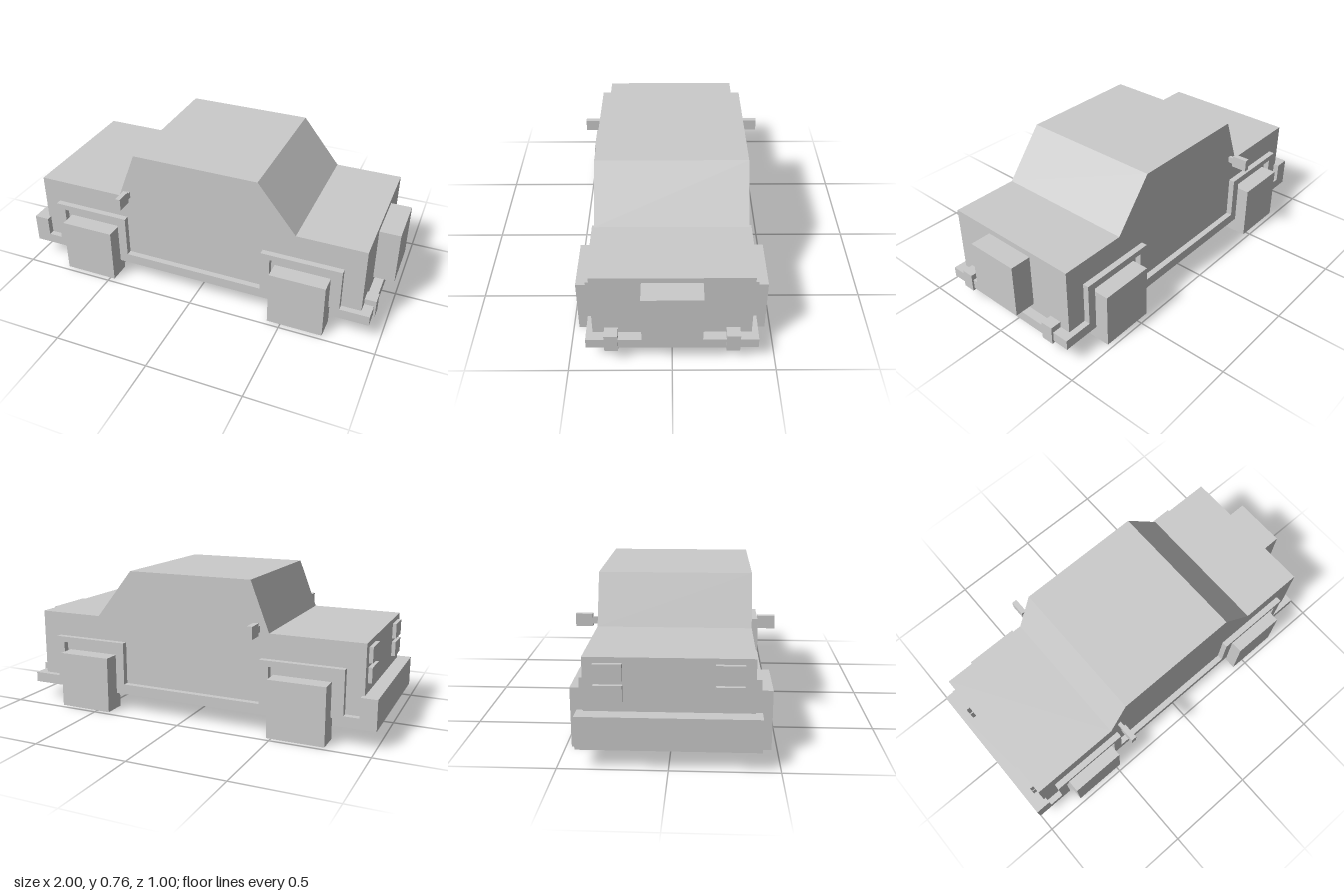
import * as THREE from 'three';

const material = new THREE.MeshStandardMaterial({ color: 0xcccccc, flatShading: true });

// Box given by its [min, max] range on each axis
function box(name, [x0, x1], [y0, y1], [z0, z1]) {
  const mesh = new THREE.Mesh(new THREE.BoxGeometry(x1 - x0, y1 - y0, z1 - z0), material);
  mesh.position.set((x0 + x1) / 2, (y0 + y1) / 2, (z0 + z1) / 2);
  mesh.name = name;
  return mesh;
}

// Side profile extruded across the car's width
function profile(name, points, halfWidth) {
  const shape = new THREE.Shape(points.map(([x, y]) => new THREE.Vector2(x, y)));
  const geometry = new THREE.ExtrudeGeometry(shape, { depth: 2 * halfWidth, bevelEnabled: false });
  geometry.translate(0, 0, -halfWidth);
  const mesh = new THREE.Mesh(geometry, material);
  mesh.name = name;
  return mesh;
}

export function createModel() {
  const car = new THREE.Group();
  car.name = 'car';

  // Body with bonnet, cabin and boot
  car.add(profile('body', [
    [-0.93, 0.12], [0.89, 0.12], [0.89, 0.503], [0.53, 0.503],
    [0.325, 0.76], [-0.35, 0.76], [-0.45, 0.503], [-0.93, 0.503],
  ], 0.383));

  // Continuous band: bumper, wheel arches, sills and rear step
  car.add(profile('bumperAndArchTrim', [
    [-1, 0.094], [-0.79, 0.094], [-0.79, 0.345], [-0.46, 0.345], [-0.46, 0.094],
    [0.41, 0.094], [0.41, 0.345], [0.74, 0.345], [0.74, 0.094], [0.94, 0.094],
    [0.94, 0.148], [0.785, 0.148], [0.785, 0.375], [0.362, 0.375], [0.362, 0.148],
    [-0.412, 0.148], [-0.412, 0.375], [-0.84, 0.375], [-0.84, 0.148],
    [-0.918, 0.148], [-0.918, 0.25], [-1, 0.25],
  ], 0.415));

  // Spare wheel case on the tail
  car.add(box('spareWheel', [0.89, 1], [0.187, 0.473], [-0.143, 0.143]));

  // Parts mirrored on both flanks
  for (const side of [1, -1]) {
    const pair = (name, x, y, [a, b]) =>
      car.add(box(name, x, y, side > 0 ? [a, b] : [-b, -a]));
    pair('frontWheel', [-0.77, -0.475], [0, 0.298], [0.354, 0.473]);
    pair('rearWheel', [0.428, 0.722], [0, 0.298], [0.354, 0.473]);
    pair('mirrorArm', [-0.403, -0.385], [0.505, 0.538], [0.37, 0.415]);
    pair('mirror', [-0.407, -0.379], [0.492, 0.556], [0.413, 0.498]);
    pair('upperHeadlight', [-0.95, -0.92], [0.397, 0.476], [0.205, 0.335]);
    pair('lowerHeadlight', [-0.95, -0.92], [0.3, 0.377], [0.205, 0.335]);
    pair('rearBumperGuard', [0.886, 0.95], [0.082, 0.18], [0.26, 0.326]);
  }
  return car;
}
